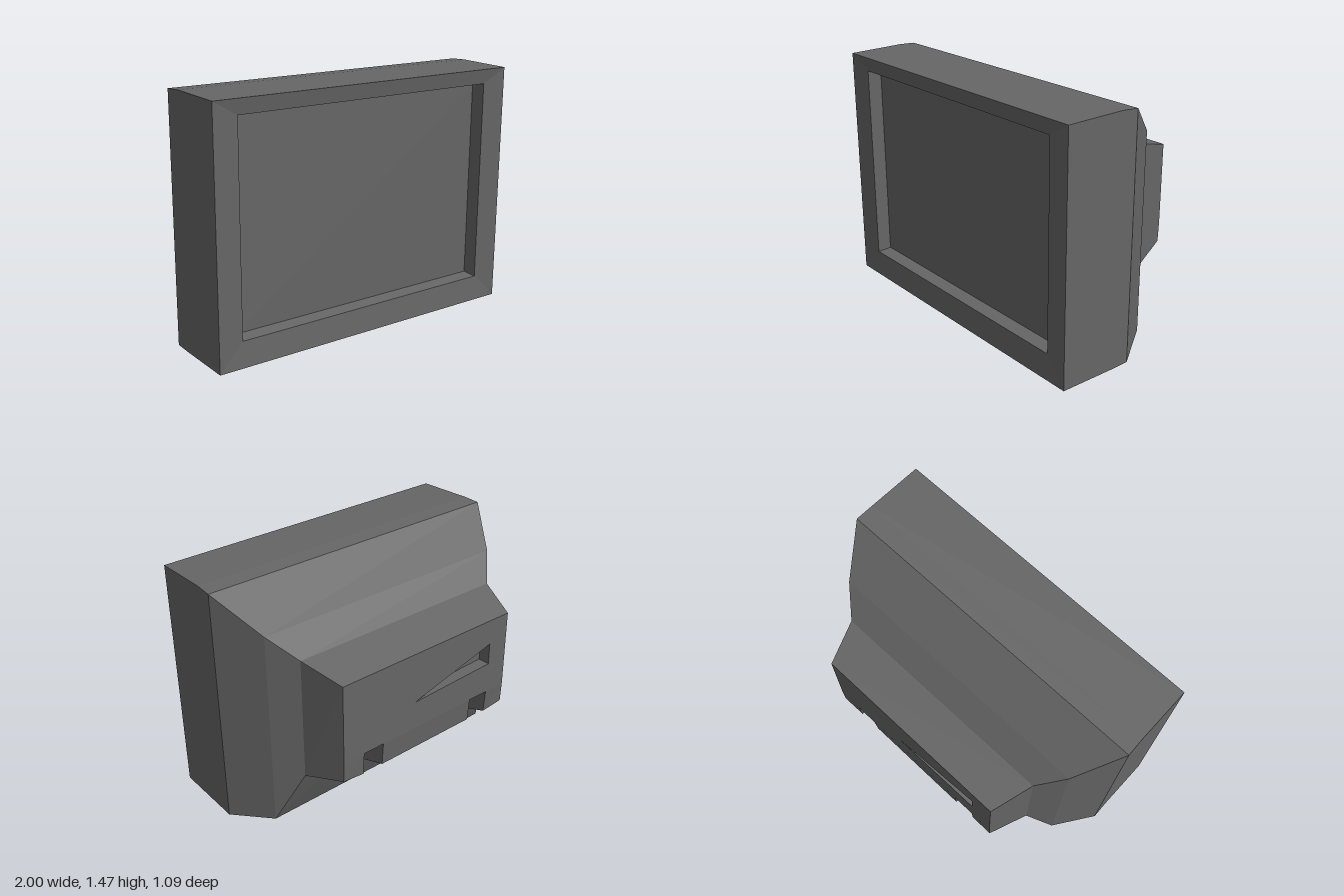
import * as THREE from 'three';

const casing = new THREE.MeshStandardMaterial({ color: 0x666666, side: THREE.DoubleSide });
casing.name = 'darkGreyPlastic';

const mirror = ([x, y, z]) => [-x, y, z];

// Collects flat faces and turns them into one mesh
function panelSet(name) {
  const pos = [];
  const set = {
    tri: (a, b, c) => pos.push(...a, ...b, ...c),
    quad(a, b, c, d) { set.tri(a, b, c); set.tri(a, c, d); },
    // the same face on the left and right side
    both(...p) {
      const m = p.map(mirror).reverse();
      for (const f of [p, m]) f.length === 3 ? set.tri(...f) : set.quad(...f);
    },
    // a face reaching across from one side to the other
    span: (p, q) => set.quad(mirror(p), p, q, mirror(q)),
    // a band between two closed loops of points
    band(outer, inner) {
      outer.forEach((p, i) => {
        const j = (i + 1) % outer.length;
        set.quad(p, outer[j], inner[j], inner[i]);
      });
    },
    mesh() {
      const g = new THREE.BufferGeometry();
      g.setAttribute('position', new THREE.Float32BufferAttribute(pos, 3));
      g.computeVertexNormals();
      const m = new THREE.Mesh(g, casing);
      m.name = name;
      return m;
    },
  };
  return set;
}

const rect = (x, y0, y1, z) => [[-x, y0, z], [x, y0, z], [x, y1, z], [-x, y1, z]];

export function createModel() {
  const group = new THREE.Group();
  group.name = 'television';

  // Front frame, inner lip and recessed screen
  const outer = rect(0.99, 0.005, 1.46, 0.545);
  const inner = rect(0.84, 0.155, 1.372, 0.53);
  const glass = rect(0.832, 0.163, 1.364, 0.445);
  const frame = panelSet('frontFrame');
  frame.band(outer, inner);
  frame.band(inner, glass);
  const screen = panelSet('screen');
  screen.quad(...glass);

  // Cabinet: sections from front to back as z, half width, bottom, top
  const cabinet = panelSet('cabinet');
  const sections = [
    [0.545, 0.99, 0.005, 1.46],
    [0.19, 0.995, 0, 1.466],
    [0.085, 1, 0.005, 1.46],
    [-0.165, 0.84, 0.045, 1.255],
  ];
  for (let i = 0; i < sections.length - 1; i++) {
    const [[lo, hi], [lo2, hi2]] = [sections[i], sections[i + 1]]
      .map(([z, x, y0, y1]) => [[x, y0, z], [x, y1, z]]);
    cabinet.both(lo, lo2, hi2, hi);
    cabinet.span(hi, hi2);
    cabinet.span(lo2, lo);
  }

  // Rear housing: top, tapering sides and sloping underside
  const top3 = [0.84, 1.255, -0.165], top4 = [0.71, 1.12, -0.295], top5 = [0.63, 1.045, -0.545];
  const base = [0.84, 0.045, -0.165], cheek = [0.84, 0.38, -0.165];
  const sideLow = [0.71, 0.37, -0.295], sideEnd = [0.63, 0.43, -0.54];
  const inLow = [0.485, 0.32, -0.28], inEnd = [0.485, 0.41, -0.535];
  const rear = panelSet('rearHousing');
  rear.span(top3, top4);
  rear.span(top4, top5);
  rear.both(cheek, sideLow, top4, top3);
  rear.both(sideLow, sideEnd, top5, top4);
  rear.both(base, sideLow, cheek);
  rear.both(base, inLow, sideLow);
  rear.span(inLow, base);

  // Corner legs, the two notches and the block between them
  const under = panelSet('rearNotches');
  const legTop = [0.63, 0.555, -0.545], notchTop = [0.485, 0.555, -0.545];
  const notchDeep = [0.485, 0.52, -0.29];
  const blockLow = [0.345, 0.32, -0.28], blockEnd = [0.345, 0.41, -0.535];
  const blockTop = [0.345, 0.555, -0.545], blockDeep = [0.345, 0.52, -0.29];
  under.both(inLow, inEnd, sideEnd, sideLow);
  under.both(sideEnd, inEnd, notchTop, legTop);
  under.both(sideEnd, legTop, top5);
  under.both(inLow, notchDeep, notchTop, inEnd);
  under.both(blockDeep, blockTop, notchTop, notchDeep);
  under.both(inLow, blockLow, blockDeep, notchDeep);
  under.both(blockLow, blockEnd, blockTop, blockDeep);
  under.span(blockEnd, blockLow);
  under.span(blockTop, blockEnd);

  // Back plate with a three-cornered recess (drawn as seen from behind)
  const recess = [[0.49, 0.885], [-0.11, 0.73], [0.49, 0.75]];
  const plate = new THREE.Shape([[-0.63, 0.555], [0.63, 0.555], [0.63, 1.045], [-0.63, 1.045]]
    .map(p => new THREE.Vector2(...p)));
  plate.holes.push(new THREE.Path(recess.map(p => new THREE.Vector2(...p))));
  const back = new THREE.Mesh(new THREE.ShapeGeometry(plate).rotateY(Math.PI), casing);
  back.name = 'backPlate';
  back.position.z = -0.545;
  const pocket = panelSet('backRecess');
  const rim = recess.map(([x, y]) => [-x, y, -0.545]);
  const floor = recess.map(([x, y]) => [-x, y, -0.47]);
  pocket.band(rim, floor);
  pocket.tri(...floor);

  group.add(back, ...[frame, screen, cabinet, rear, under, pocket].map(s => s.mesh()));
  return group;
}
